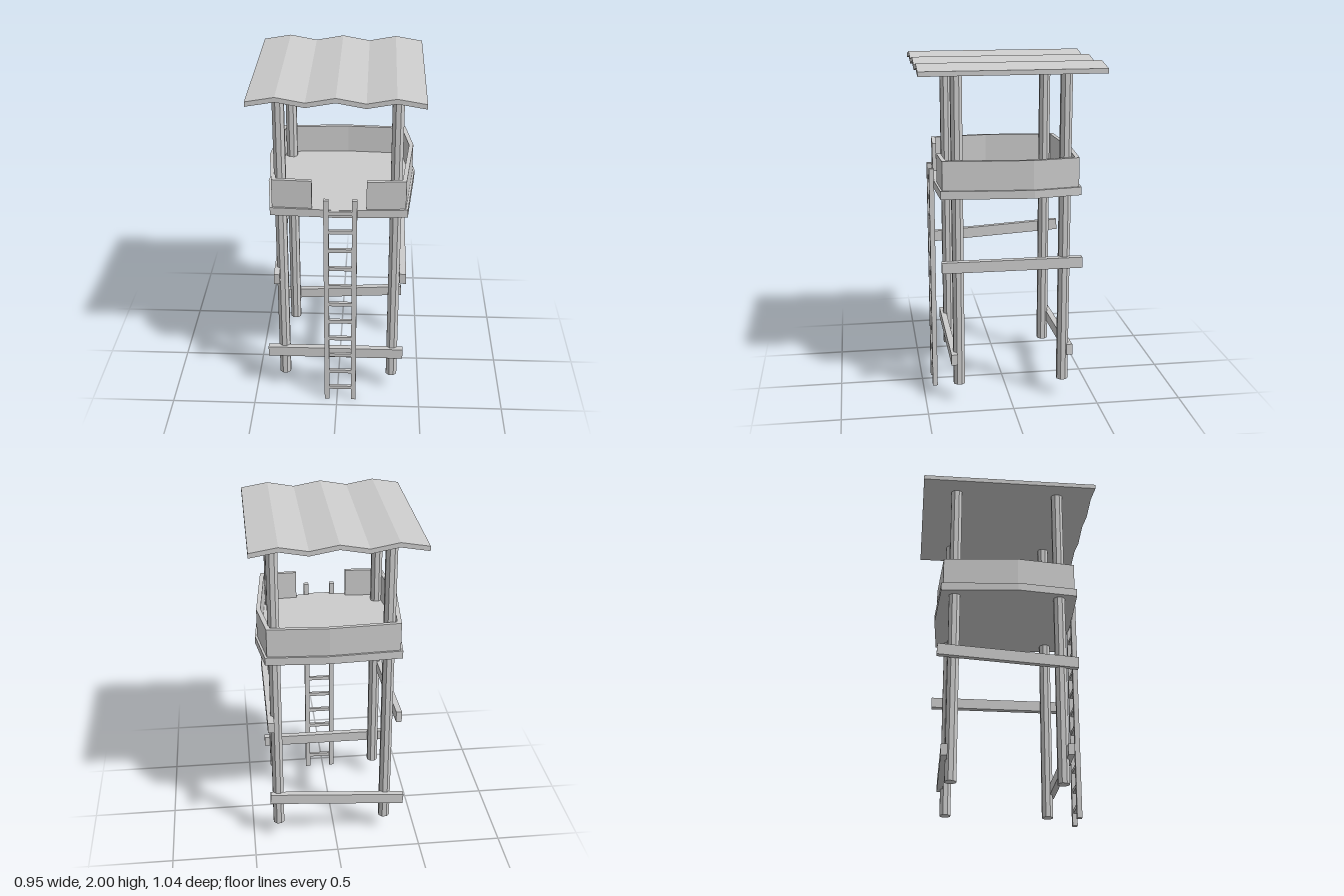
import * as THREE from 'three';

const timber = new THREE.MeshStandardMaterial({ color: 0xcccccc, flatShading: true });
timber.name = 'pale grey timber';

function part(name, geometry, parent) {
  const mesh = new THREE.Mesh(geometry, timber);
  mesh.name = name;
  parent.add(mesh);
  return mesh;
}

function box(name, parent, w, h, d, x, y, z) {
  const mesh = part(name, new THREE.BoxGeometry(w, h, d), parent);
  mesh.position.set(x, y, z);
  return mesh;
}

// Plank running between the centres of its two ends
function plank(name, parent, from, to, thickness, height) {
  const a = new THREE.Vector3(...from), b = new THREE.Vector3(...to);
  const mesh = part(name, new THREE.BoxGeometry(thickness, height, a.distanceTo(b)), parent);
  mesh.position.copy(a).lerp(b, 0.5);
  mesh.lookAt(b);
  return mesh;
}

// Horizontal slab from an outline of [x, z] points
function slab(name, parent, outline, bottom, top) {
  const shape = new THREE.Shape(outline.map(([x, z]) => new THREE.Vector2(x, z)));
  const geometry = new THREE.ExtrudeGeometry(shape, { depth: top - bottom, bevelEnabled: false });
  geometry.rotateX(Math.PI / 2);
  geometry.translate(0, top, 0);
  return part(name, geometry, parent);
}

export function createModel() {
  const tower = new THREE.Group();
  tower.name = 'watchtower';

  // Four eight-sided posts, the back pair slightly offset
  const posts = [[-0.323, 0.302], [0.33, 0.302], [-0.307, -0.315], [0.346, -0.315]];
  for (const [x, z] of posts) {
    const geometry = new THREE.CylinderGeometry(0.0352, 0.0352, 1.86, 8);
    geometry.rotateY(Math.PI / 8);
    part('post', geometry, tower).position.set(x, 1.04, z);
  }

  // Cross braces nailed outside the posts, two of them crooked
  plank('rightBrace', tower, [0.38, 0.847, 0.4], [0.38, 0.847, -0.415], 0.038, 0.064);
  plank('leftBrace', tower, [-0.35, 0.826, 0.4], [-0.364, 0.871, -0.41], 0.033, 0.066);
  plank('frontBrace', tower, [-0.42, 0.281, 0.334], [0.395, 0.281, 0.334], 0.036, 0.064);
  plank('backBrace', tower, [-0.415, 0.257, -0.357], [0.394, 0.307, -0.349], 0.036, 0.064);

  // Bowed outline shared by platform and parapet, starting at the front right corner
  const sides = [
    [0.385, 0.39], [0.432, -0.12], [0.39, -0.388], [0.04, -0.408],
    [-0.365, -0.385], [-0.405, 0.05], [-0.365, 0.39],
  ];
  const cx = 0.012;
  const scaled = (s) => ([x, z]) => [cx + (x - cx) * s, z * s];
  slab('platform', tower, [...sides, [0.02, 0.41]].map(scaled(1.03)), 1.25, 1.297);

  // Parapet wall with a gap at the front for the ladder
  const inner = sides.map(scaled(0.94)).reverse();
  slab('parapet', tower, [
    [0.165, 0.402], ...sides, [-0.14, 0.402],
    [-0.14, 0.378], ...inner, [0.165, 0.378],
  ], 1.295, 1.465);

  // Ladder
  const ladder = new THREE.Group();
  ladder.name = 'ladder';
  tower.add(ladder);
  for (const x of [-0.06, 0.1]) box('ladderRail', ladder, 0.029, 1.365, 0.029, x, 0.6825, 0.428);
  for (let i = 0; i < 11; i++) {
    box('ladderRung', ladder, 0.15, 0.022, 0.018, 0.02, 0.083 + i * 0.1202, 0.428);
  }

  // Corrugated roof sheet
  const xs = [-0.476, -0.318, -0.16, 0, 0.16, 0.318, 0.476];
  const ridge = xs.map((x, i) => new THREE.Vector2(x, i % 2 ? 2 : 1.973));
  ridge[3].y = 2;
  ridge[2].y = ridge[4].y = 1.971;
  const underside = ridge.map((p) => new THREE.Vector2(p.x, p.y - 0.027)).reverse();
  const roof = new THREE.ExtrudeGeometry(new THREE.Shape([...ridge, ...underside]), { depth: 1.04, bevelEnabled: false });
  roof.translate(0, 0, -0.52);
  part('roof', roof, tower);

  return tower;
}
